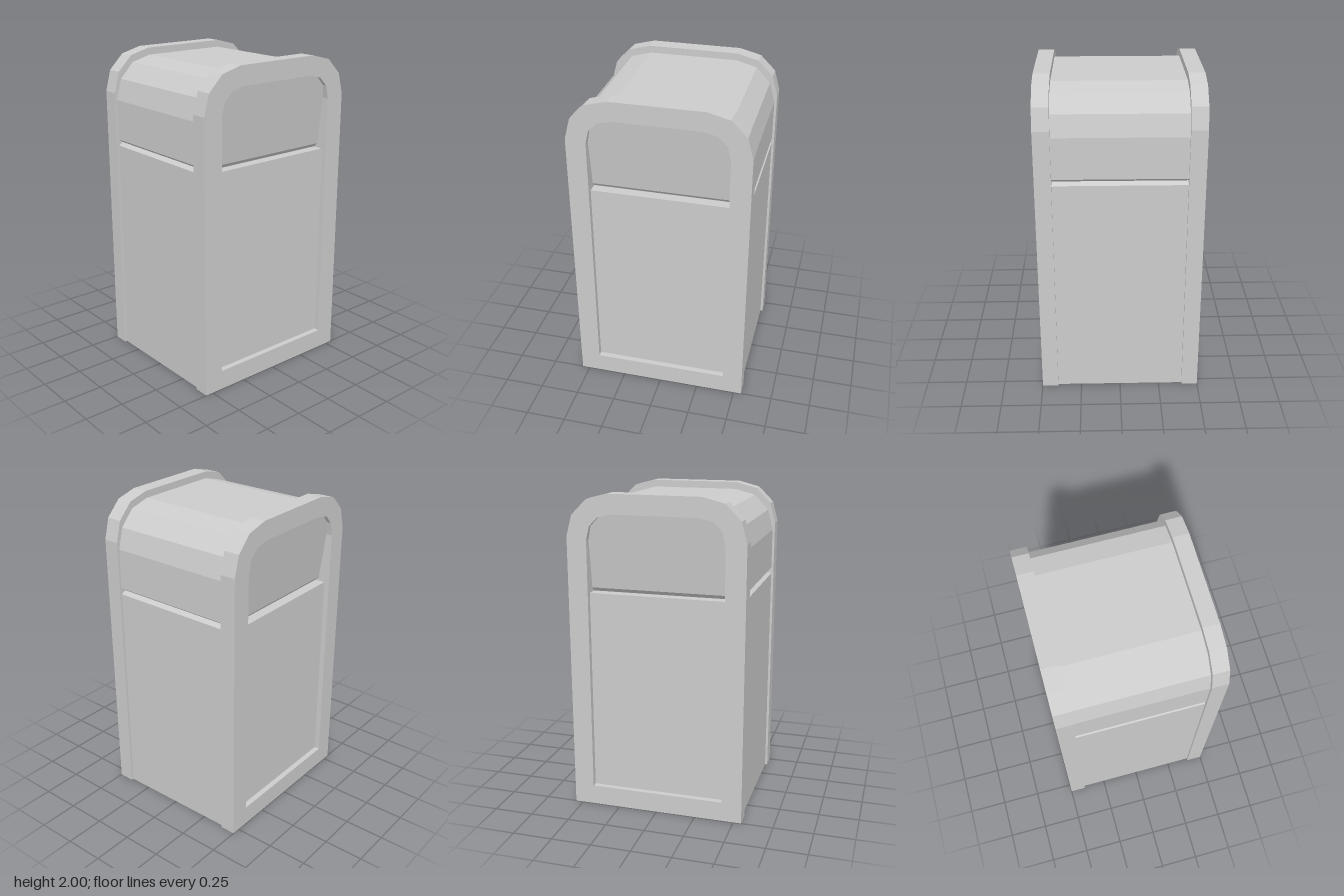
import * as THREE from 'three';

const material = new THREE.MeshStandardMaterial({ color: 0xcccccc, flatShading: true });

// Half outline (z, y) going up one side, mirrored into a closed outline
function mirrored(half, Type = THREE.Shape) {
  const other = half.map(([z, y]) => [-z, y]).reverse();
  return new Type([...half, ...other].map(([z, y]) => new THREE.Vector2(z, y)));
}

// Extrude an outline drawn in the z-y plane along x, starting at x0
function extrudeX(shape, x0, depth) {
  const geo = new THREE.ExtrudeGeometry(shape, { depth, bevelEnabled: false });
  return geo.rotateY(Math.PI / 2).translate(x0, 0, 0);
}

function part(name, geo) {
  const mesh = new THREE.Mesh(geo, material);
  mesh.name = name;
  return mesh;
}

const frameArch = [[0.55, 1.74], [0.515, 1.87], [0.42, 1.965], [0.285, 2]];
const openingArch = [[0.425, 1.72], [0.405, 1.805], [0.35, 1.86], [0.265, 1.88]];
const bodyArch = [[0.535, 1.695], [0.5, 1.825], [0.41, 1.92], [0.28, 1.955]];

// Side frame with an arched opening, a recessed panel and a tilted flap
function createSide(name) {
  const side = new THREE.Group();
  side.name = name;

  const outline = mirrored([[0.55, 0], ...frameArch]);
  outline.holes.push(mirrored([[0.425, 0.125], ...openingArch], THREE.Path));
  side.add(part('sideFrame', extrudeX(outline, 0.4, 0.1)));

  const panel = new THREE.BoxGeometry(0.075, 1.275, 0.852);
  side.add(part('sidePanel', panel.translate(0.4275, 0.7575, 0)));

  // Flap leans inward towards its bottom edge, whose underside slopes back
  const flap = extrudeX(mirrored([[0.425, 1.42], ...openingArch]), 0.398, 0.08);
  const pos = flap.attributes.position;
  for (let i = 0; i < pos.count; i++) {
    const y = pos.getY(i);
    if (pos.getX(i) > 0.44) {
      pos.setX(i, THREE.MathUtils.mapLinear(y, 1.42, 1.88, 0.422, 0.482));
    } else if (y < 1.43) {
      pos.setY(i, 1.394);
    }
  }
  flap.computeVertexNormals();
  side.add(part('sideFlap', flap));
  return side;
}

export function createModel() {
  const bin = new THREE.Group();
  bin.name = 'litterBin';

  // Central body with faceted hood and a V groove on front and back
  const profile = mirrored([
    [0.535, 0], [0.535, 1.4], [0.505, 1.418], [0.535, 1.44], ...bodyArch,
  ]);
  bin.add(part('body', extrudeX(profile, -0.4, 0.8)));

  const left = createSide('leftSide');
  const right = createSide('rightSide');
  right.rotation.y = Math.PI;
  bin.add(left, right);
  return bin;
}
